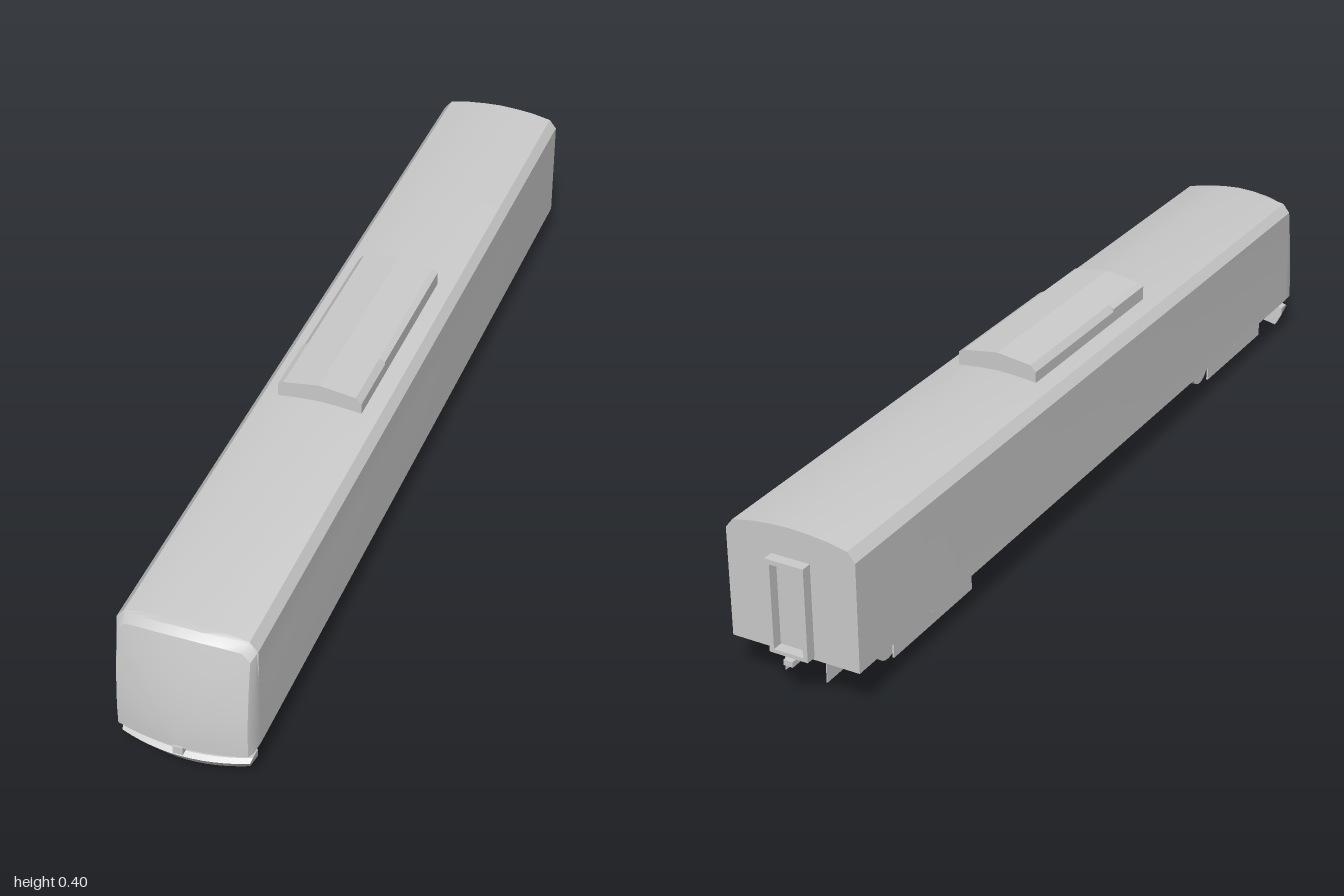
import * as THREE from 'three';
import { toCreasedNormals } from 'three/addons/utils/BufferGeometryUtils.js';

const grey = new THREE.MeshStandardMaterial({ color: 0xcccccc, side: THREE.DoubleSide });

function add(parent, name, geometry, x = 0, y = 0, z = 0) {
  const mesh = new THREE.Mesh(geometry, grey);
  mesh.name = name;
  mesh.position.set(x, y, z);
  parent.add(mesh);
  return mesh;
}

// Box given by its extents
function block(parent, name, x0, x1, y0, y1, z0, z1) {
  return add(parent, name, new THREE.BoxGeometry(x1 - x0, y1 - y0, z1 - z0),
    (x0 + x1) / 2, (y0 + y1) / 2, (z0 + z1) / 2);
}

// Skin over a series of closed rings of [x, y, z] points
function loft(rings, crease = 0.5) {
  const n = rings[0].length;
  const index = [];
  for (let i = 0; i < rings.length - 1; i++) {
    for (let j = 0; j < n; j++) {
      const a = i * n + j, b = i * n + (j + 1) % n;
      index.push(a, b, b + n, a, b + n, a + n);
    }
  }
  const geometry = new THREE.BufferGeometry();
  geometry.setAttribute('position', new THREE.Float32BufferAttribute(rings.flat(2), 3));
  geometry.setIndex(index);
  return toCreasedNormals(geometry, crease);
}

// Prism with an [x, y] outline between two z positions
function prism(points, z0, z1, hole) {
  const shape = new THREE.Shape(points.map(([x, y]) => new THREE.Vector2(x, y)));
  if (hole) shape.holes.push(new THREE.Path(hole.map(([x, y]) => new THREE.Vector2(x, y))));
  return new THREE.ExtrudeGeometry(shape, { depth: z1 - z0, bevelEnabled: false }).translate(0, 0, z0);
}

const rect = (w, y0, y1) => [[-w, y0], [w, y0], [w, y1], [-w, y1]];

// Coach shell with an arched roof and a curved, slightly raked cab front
function bodyShell() {
  const floor = 0.095;
  const half = [[0.14, floor], [0.14, 0.14], [0.14, 0.19], [0.14, 0.25], [0.14, 0.325],
    [0.124, 0.345], [0.08, 0.354], [0.04, 0.358]];
  const outline = [...half, [0, 0.36], ...half.map(([x, y]) => [-x, y]).reverse()];
  const face = (x, y) =>
    0.996 - 1.2 * x * x - 0.035 * Math.pow(Math.max(0, (y - 0.12) / 0.23), 1.6);
  const ring = (sx, sy, z) => outline.map(([x, y]) => {
    const px = x * sx, py = floor + (y - floor) * sy;
    return [px, py, z(px, py)];
  });
  return loft([
    ring(0, 0, () => -0.975),
    ring(1, 1, () => -0.975),
    ring(1, 1, () => 0.93),
    ring(0.985, 0.99, (x, y) => face(x, y) - 0.012),
    ring(0.94, 0.945, face),
    ...[0.75, 0.55, 0.35, 0.15, 0].map((s) => ring(s, s, face)),
  ]);
}

// Curved bumper: one cross-section swept across the width
function bumper() {
  const section = [[-0.035, 0.073], [-0.01, 0.073], [0, 0.066], [-0.028, 0.028], [-0.04, 0.028]];
  const rings = [];
  for (let i = 0; i <= 12; i++) {
    const t = i / 6 - 1;
    rings.push(section.map(([z, y]) =>
      [t * (0.118 + 0.014 * (y - 0.028) / 0.045), y, 0.99 - 0.025 * t * t + z]));
  }
  const cap = (r) => r.map(() => [r[0][0], 0.055, r[0][2]]);
  return loft([cap(rings[0]), ...rings, cap(rings[12])]);
}

// Bogie: side frames, brackets and two axles of wheels
function bogie(name, centre) {
  const group = new THREE.Group();
  group.name = name;
  group.position.z = centre;
  for (const s of [-1, 1]) {
    const label = s > 0 ? 'left' : 'right';
    add(group, label + 'SideFrame', new THREE.BoxGeometry(0.004, 0.05, 0.287), s * 0.11, 0.058, 0);
    add(group, label + 'Bracket', new THREE.BoxGeometry(0.014, 0.02, 0.05), s * 0.118, 0.085, 0);
    for (const z of [-0.107, 0.107]) {
      const wheel = new THREE.CylinderGeometry(0.04, 0.04, 0.013, 24).rotateZ(Math.PI / 2);
      add(group, label + 'Wheel', wheel, s * 0.068, 0.04, z);
    }
  }
  return group;
}

export function createModel() {
  const model = new THREE.Group();
  model.name = 'railCar';

  add(model, 'body', bodyShell());

  // Roof equipment in two lengths, each with one deeper shoulder
  const pod = [[-0.09, 0.345], [0.09, 0.345], [0.09, 0.376], [0.078, 0.389],
    [0, 0.4], [-0.078, 0.389], [-0.09, 0.382]];
  add(model, 'roofUnitFront', prism(pod, 0.11, 0.25));
  add(model, 'roofUnitRear', prism(pod.map(([x, y]) => [-x, y]).reverse(), -0.23, 0.11));

  // Gangway surround on the rear wall
  add(model, 'gangwayFrame', prism(rect(0.042, 0.1, 0.297), -0.997, -0.974, rect(0.032, 0.108, 0.287)));

  // Underframe sills
  for (const s of [-1, 1]) {
    block(model, s > 0 ? 'leftSill' : 'rightSill', s * 0.046 - 0.001, s * 0.046 + 0.001,
      0.03, 0.096, -0.945, 0.945);
  }

  // Cab end
  block(model, 'headstock', -0.12, 0.12, 0.07, 0.096, 0.935, 0.945);
  add(model, 'bumper', bumper());
  block(model, 'frontCoupler', -0.01, 0.01, 0.081, 0.099, 0.93, 1);
  block(model, 'rearCoupler', -0.01, 0.01, 0.082, 0.094, -1, -0.93);

  model.add(bogie('frontBogie', 0.697), bogie('rearBogie', -0.674));
  return model;
}
